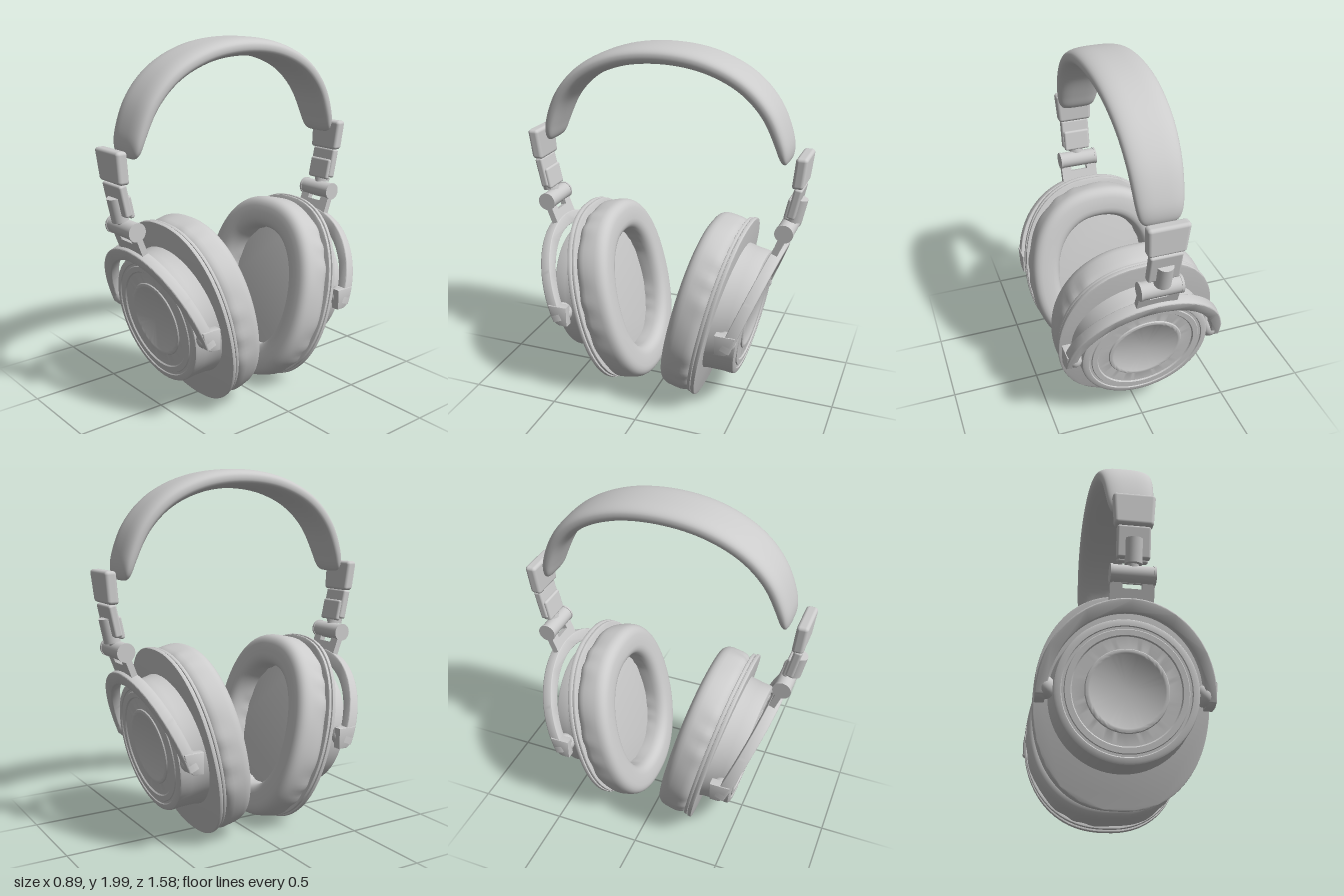
import * as THREE from 'three';
import { toCreasedNormals } from 'three/addons/utils/BufferGeometryUtils.js';
import { RoundedBoxGeometry } from 'three/addons/geometries/RoundedBoxGeometry.js';

const material = new THREE.MeshStandardMaterial({ color: 0xcccccc });

function add(parent, name, geometry, x = 0, y = 0, z = 0, tilt = 0) {
  const mesh = new THREE.Mesh(geometry, material);
  mesh.name = name;
  mesh.position.set(x, y, z);
  mesh.rotation.x = tilt;
  parent.add(mesh);
  return mesh;
}

function subGroup(parent, name, y, z, tilt) {
  const g = new THREE.Group();
  g.name = name;
  g.position.set(0, y, z);
  g.rotation.x = tilt;
  parent.add(g);
  return g;
}

const box = (w, h, d, r = 0.012) => new RoundedBoxGeometry(w, h, d, 3, r);

// Signed power, used for superellipses
const pw = (v, e) => Math.sign(v) * Math.pow(Math.abs(v), e);

// Smooth skin over a grid of points; rows run along, columns wrap around
function skin(rows, cols, point, wrapRows) {
  const pos = [], index = [];
  for (let i = 0; i < rows; i++)
    for (let j = 0; j < cols; j++) pos.push(...point(i, j));
  const last = wrapRows ? rows : rows - 1;
  for (let i = 0; i < last; i++)
    for (let j = 0; j < cols; j++) {
      const i2 = (i + 1) % rows, j2 = (j + 1) % cols;
      const a = i * cols + j, b = i2 * cols + j, c = i2 * cols + j2, d = i * cols + j2;
      index.push(a, b, c, a, c, d);
    }
  const g = new THREE.BufferGeometry();
  g.setAttribute('position', new THREE.Float32BufferAttribute(pos, 3));
  g.setIndex(index);
  g.computeVertexNormals();
  return g;
}

// Point on the ear-cup oval, a little flat at its sides
const oval = (t, rx, ry) => [rx * pw(Math.cos(t), 0.86), ry * pw(Math.sin(t), 0.95)];

function ovalPlate(rx, ry, depth) {
  const pts = [];
  for (let i = 0; i < 96; i++)
    pts.push(new THREE.Vector2(...oval((i / 96) * Math.PI * 2, rx - 0.005, ry - 0.005)));
  const g = new THREE.ExtrudeGeometry(new THREE.Shape(pts), {
    depth: depth - 0.01, bevelEnabled: true, bevelSize: 0.005, bevelThickness: 0.005, bevelSegments: 2,
  });
  g.translate(0, 0, 0.005);
  return toCreasedNormals(g, 0.6);
}

// Soft ear cushion: boxy round section swept around the oval, lightly wrinkled
function cushionGeometry() {
  const rows = 120, cols = 32;
  return skin(rows, cols, (i, j) => {
    const t = (i / rows) * Math.PI * 2, s = (j / cols) * Math.PI * 2;
    const k = pw(Math.cos(s), 0.65), h = pw(Math.sin(s), 0.65);
    const wrinkle = 0.004 * Math.sin(t * 17 + 2 * Math.sin(t * 5)) * Math.max(0, h + 0.3);
    const [x, y] = oval(t, 0.356 + 0.085 * k - wrinkle, 0.435 + 0.09 * k - wrinkle);
    return [x, y - 0.012, -0.107 + 0.094 * h];
  }, true);
}

// Round housing with shallow stepped rings on its face
function housingGeometry() {
  const profile = [
    [0.39, -0.21], [0.372, -0.15], [0.362, -0.07], [0.36, -0.014], [0.356, -0.005], [0.346, 0],
    [0.324, 0.001], [0.32, -0.004], [0.308, -0.004], [0.304, 0.001], [0.276, 0.001], [0.27, -0.006],
    [0.209, -0.009], [0.205, -0.003], [0.196, 0], [0.186, -0.002], [0.178, -0.007], [0, -0.007],
  ].map(([r, y]) => new THREE.Vector2(r, y));
  return toCreasedNormals(new THREE.LatheGeometry(profile, 72).rotateX(Math.PI / 2), 0.6);
}

// Half-ring fork that carries the cup
function yokeGeometry() {
  const shape = new THREE.Shape();
  shape.moveTo(0.439, 0);
  shape.absellipse(0, 0, 0.439, 0.472, 0, Math.PI, false);
  shape.lineTo(-0.393, 0);
  shape.absellipse(0, 0, 0.393, 0.412, Math.PI, 0, true);
  shape.closePath();
  const g = new THREE.ExtrudeGeometry(shape, {
    depth: 0.044, curveSegments: 48, bevelEnabled: true, bevelSize: 0.006, bevelThickness: 0.008, bevelSegments: 3,
  });
  g.translate(0, 0, -0.024);
  return toCreasedNormals(g, 0.7);
}

// Hooked end of the fork, rounded at its lower outer corner
function yokeFootGeometry() {
  const shape = new THREE.Shape();
  shape.moveTo(0.045, 0.055).lineTo(-0.055, 0.055).lineTo(-0.055, -0.05).lineTo(-0.015, -0.05);
  shape.quadraticCurveTo(0.025, -0.045, 0.045, 0.055);
  const g = new THREE.ExtrudeGeometry(shape, {
    depth: 0.04, curveSegments: 10, bevelEnabled: true, bevelSize: 0.005, bevelThickness: 0.006, bevelSegments: 2,
  });
  return toCreasedNormals(g.translate(0, 0, -0.02).rotateY(-Math.PI / 2), 0.7);
}

// Flat hinge tongue with a slot
function tongueGeometry() {
  const shape = new THREE.Shape();
  shape.moveTo(-0.11, -0.075).lineTo(0.11, -0.075).lineTo(0.11, 0.075).lineTo(-0.11, 0.075).closePath();
  const slot = new THREE.Path();
  slot.moveTo(-0.05, 0.014).lineTo(-0.05, 0.04).lineTo(0.05, 0.04).lineTo(0.05, 0.014).closePath();
  shape.holes.push(slot);
  const g = new THREE.ExtrudeGeometry(shape, { depth: 0.034, bevelEnabled: false });
  return g.translate(0, 0, -0.017);
}

// Padded band: rounded section lofted along the arch, closing at both ends
function headbandGeometry() {
  const half = [[1.43, 0.67], [1.54, 0.645], [1.7, 0.57], [1.83, 0.44], [1.92, 0.24]];
  const pts = [
    ...half.map(([y, z]) => new THREE.Vector3(0, y, z)),
    new THREE.Vector3(0, 1.95, 0),
    ...half.slice().reverse().map(([y, z]) => new THREE.Vector3(0, y, -z)),
  ];
  const curve = new THREE.CatmullRomCurve3(pts);
  const rows = 81, cols = 40;
  return skin(rows, cols, (i, j) => {
    // Rows crowd towards the ends so that the tips stay round
    const u = 0.5 - 0.5 * Math.cos((i / (rows - 1)) * Math.PI);
    const p = curve.getPointAt(u), t = curve.getTangentAt(u);
    const end = Math.sqrt(Math.max(0, 1 - Math.pow(Math.abs(2 * u - 1), 22)));
    const mid = Math.pow(Math.sin(Math.PI * u), 0.8);
    const s = (j / cols) * Math.PI * 2;
    const w = (0.112 + 0.043 * mid) * Math.pow(end, 0.35) * pw(Math.cos(s), 0.65);
    const h = (0.03 + 0.02 * Math.sqrt(mid)) * end * pw(Math.sin(s), 0.8);
    return [w, p.y - t.z * h, p.z + t.y * h];
  }, false);
}

function createSide(name) {
  const side = new THREE.Group();
  side.name = name;

  // Ear cup
  const cup = subGroup(side, 'earCup', 0.537, 0.35, 0.227);
  add(cup, 'backPlate', ovalPlate(0.445, 0.537, 0.022), 0, 0, -0.002);
  add(cup, 'cushionRim', ovalPlate(0.442, 0.53, 0.018), 0, 0, -0.024);
  add(cup, 'plateCore', ovalPlate(0.43, 0.515, 0.03), 0, 0, -0.02);
  add(cup, 'cushion', cushionGeometry());
  add(cup, 'speakerCover', ovalPlate(0.34, 0.42, 0.05), 0, 0, -0.08);
  add(side, 'housing', housingGeometry(), 0, 0.5275, 0.5275, 0.164);

  // Yoke with hooked feet and rounded pivots
  add(side, 'yoke', yokeGeometry(), 0, 0.51, 0.484, 0.38);
  for (const s of [-1, 1]) {
    add(side, 'yokeFoot', yokeFootGeometry(), s * 0.418, 0.535, 0.486);
    const pivot = new THREE.SphereGeometry(0.056, 28, 18).scale(0.8, 1, 1);
    add(side, 'yokePivot', pivot, s * 0.39, 0.54, 0.475);
  }

  // Folding hinge
  add(side, 'hingeTongue', tongueGeometry(), 0, 0.99, 0.662, 0.36);
  const barrel = new THREE.CylinderGeometry(0.047, 0.047, 0.21, 32).rotateZ(Math.PI / 2);
  add(side, 'hingeBarrel', barrel, 0, 1.07, 0.69);
  for (const s of [-1, 1]) {
    const cap = new THREE.CylinderGeometry(0.05, 0.05, 0.012, 32).rotateZ(Math.PI / 2);
    add(side, 'hingeCap', cap, s * 0.107, 1.07, 0.69);
  }

  // Slider arm up to the band
  const arm = subGroup(side, 'sliderArm', 1.225, 0.728, 0.21);
  add(arm, 'sliderPlate', box(0.17, 0.17, 0.044), 0, 0.005, 0);
  add(arm, 'sliderBacking', box(0.155, 0.12, 0.03), 0, -0.035, -0.022);
  add(arm, 'swivelPin', new THREE.CylinderGeometry(0.044, 0.044, 0.13, 28), 0, -0.045, 0.012);
  add(arm, 'swivelNeck', new THREE.CylinderGeometry(0.03, 0.03, 0.06, 24), 0, -0.12, 0);

  // Flared end cap, bent a little along its height
  const capGeo = new RoundedBoxGeometry(0.2, 0.17, 0.062, 8, 0.018);
  const p = capGeo.attributes.position;
  for (let i = 0; i < p.count; i++) {
    const v = p.getY(i) / 0.085;
    p.setX(i, p.getX(i) * (1.04 + 0.06 * v));
    p.setZ(i, p.getZ(i) + 0.009 * v - 0.004 * v * v);
  }
  add(side, 'bandEndCap', capGeo, 0, 1.4, 0.754);
  return side;
}

export function createModel() {
  const model = new THREE.Group();
  model.name = 'headphones';
  add(model, 'headband', headbandGeometry());
  const front = createSide('frontSide');
  const back = createSide('backSide');
  back.rotation.y = Math.PI;
  model.add(front, back);
  return model;
}
